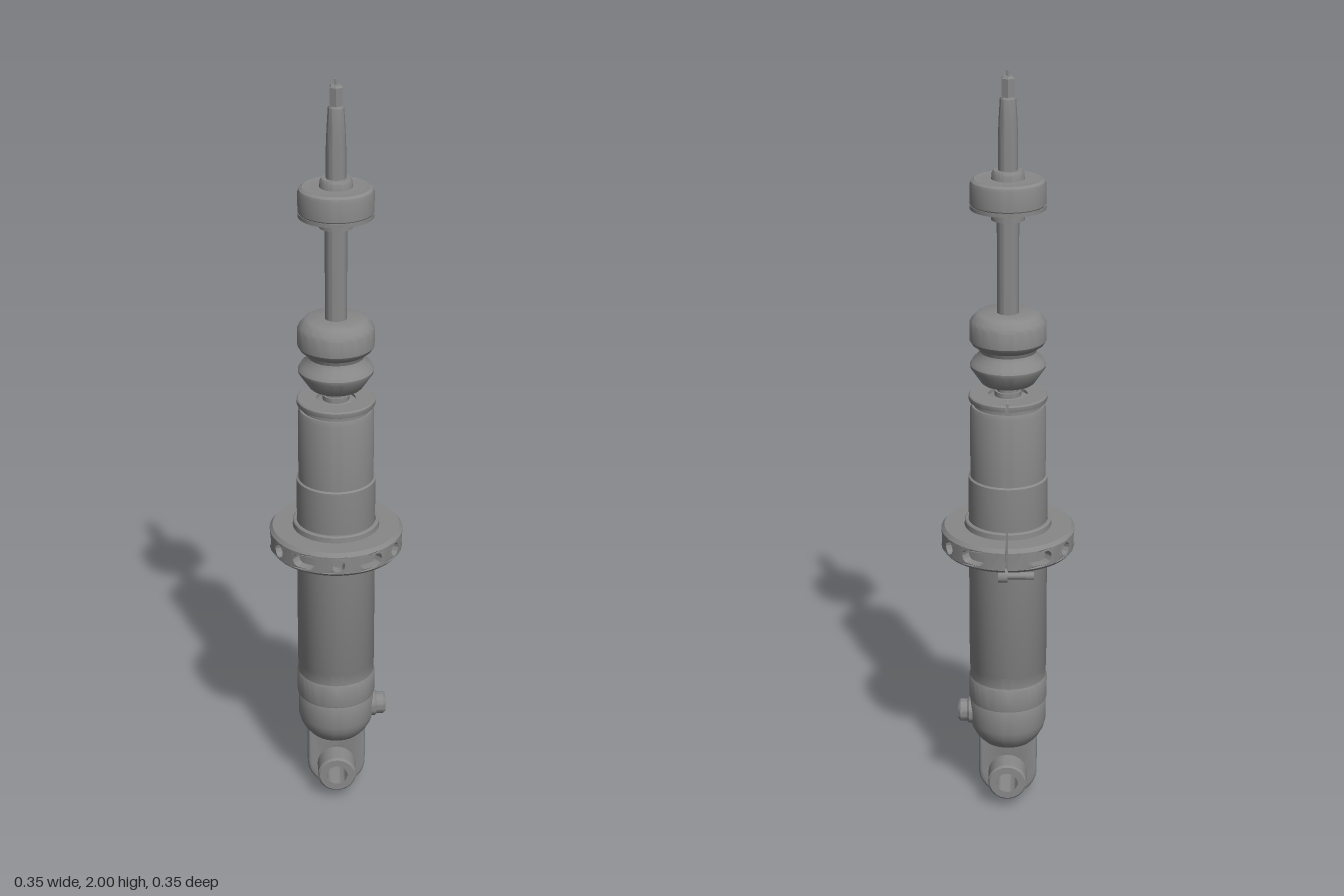
import * as THREE from 'three';
import { mergeGeometries, toCreasedNormals } from 'three/addons/utils/BufferGeometryUtils.js';

const V = (a) => a.map(([r, y]) => new THREE.Vector2(r, y));

export function createModel() {
  const model = new THREE.Group();
  model.name = 'shockAbsorber';
  const metal = new THREE.MeshStandardMaterial({ color: 0x888888, side: THREE.DoubleSide });
  metal.name = 'grey metal';

  const add = (name, geo, x = 0, y = 0, z = 0, parent = model) => {
    const m = new THREE.Mesh(toCreasedNormals(geo, 0.5), metal);
    m.name = name;
    m.position.set(x, y, z);
    parent.add(m);
    return m;
  };
  // revolved part; gap is the half angle of a slit at the back
  const turned = (name, pts, gap = 0, seg = 64) =>
    add(name, new THREE.LatheGeometry(V(pts), seg, Math.PI + gap, Math.PI * 2 - gap * 2));

  // lower body, threaded tube and upper sleeve
  turned('baseCup', [[0, 0.172], [0.07, 0.172], [0.076, 0.178], [0.088, 0.193], [0.097, 0.21],
    [0.102, 0.23], [0.102, 0.29], [0.098, 0.3], [0, 0.3]]);
  turned('baseCollar', [[0.09, 0.298], [0.104, 0.298], [0.105, 0.303], [0.105, 0.36], [0.102, 0.366], [0.09, 0.366]]);
  turned('bodyTube', [[0.09, 0.36], [0.102, 0.36], [0.102, 0.398], [0.103, 0.4], [0.103, 0.942], [0.097, 0.946], [0.09, 0.946]]);
  turned('upperSleeve', [[0.09, 0.94], [0.098, 0.94], [0.098, 1.128], [0.094, 1.14], [0, 1.14]]);
  turned('capNeck', [[0.088, 1.135], [0.088, 1.156]]);
  turned('capRing', [[0.05, 1.153], [0.1, 1.153], [0.101, 1.156], [0.101, 1.166], [0.098, 1.169], [0.05, 1.169], [0.05, 1.153]], 0.04);
  turned('rodSeal', [[0.055, 1.14], [0.055, 1.16], [0.034, 1.165], [0.034, 1.178], [0, 1.178]]);

  // piston rod with stepped top
  turned('pistonRod', [[0, 1.15], [0.028, 1.15], [0.028, 1.7], [0, 1.7]], 0, 40);
  turned('rodStud', [[0, 1.7], [0.025, 1.7], [0.025, 1.83], [0.023, 1.88], [0.02, 1.93], [0.017, 1.935], [0, 1.935]], 0, 40);
  turned('rodHexTip', [[0, 1.93], [0.018, 1.93], [0.018, 1.98], [0.014, 1.985], [0, 1.985]], 0, 6);
  turned('rodPin', [[0, 1.98], [0.004, 1.98], [0.004, 2], [0, 2]], 0, 12);

  // rubber bump stop
  turned('bumpStop', [[0.028, 1.2], [0.066, 1.2], [0.07, 1.204], [0.096, 1.242], [0.097, 1.25],
    [0.09, 1.262], [0.076, 1.275], [0.072, 1.285], [0.076, 1.295], [0.092, 1.306], [0.098, 1.316],
    [0.098, 1.36], [0.094, 1.368], [0.08, 1.384], [0.074, 1.387], [0.028, 1.387]]);

  // top mount
  turned('mountLowerCollar', [[0.028, 1.628], [0.042, 1.628], [0.042, 1.648], [0.028, 1.648]]);
  turned('mountWasher', [[0.028, 1.645], [0.048, 1.645], [0.052, 1.657], [0.095, 1.657], [0.095, 1.667], [0.028, 1.667]]);
  turned('mountBush', [[0.03, 1.665], [0.092, 1.665], [0.095, 1.67], [0.095, 1.718], [0.092, 1.727],
    [0.084, 1.732], [0.07, 1.73], [0.045, 1.732], [0.025, 1.732]]);
  turned('mountUpperCollar', [[0.042, 1.728], [0.04, 1.748], [0.036, 1.754], [0.024, 1.754]]);

  // spring perch: slit clamp ring with pockets around its rim
  const R = 0.175, floor = 0.15, gap = 0.024;
  const y0 = 0.748, y1 = 0.796;
  turned('perchCore', [[0.104, 0.74], [0.168, 0.74], [R, y0], [floor, y0], [floor, y1], [R, y1],
    [0.167, 0.806], [0.114, 0.806], [0.113, 0.82], [0.11, 0.823], [0.104, 0.823], [0.104, 0.74]], gap, 96);
  const cells = [];
  const half = Math.PI / 12;
  // one rim cell, drawn flat and then bent around the axis
  const rimCell = (a0, a1, pocket) => {
    const s = new THREE.Shape();
    for (let i = 0; i <= 8; i++) {
      const a = a0 + (a1 - a0) * i / 8;
      if (i) s.lineTo(a * R, y0); else s.moveTo(a * R, y0);
    }
    for (let i = 8; i >= 0; i--) s.lineTo((a0 + (a1 - a0) * i / 8) * R, y1);
    s.closePath();
    if (pocket !== null) {
      const c = (a0 + a1) / 2 * R, y = (y0 + y1) / 2, r = 0.018, w = pocket;
      const h = new THREE.Path();
      h.absarc(c + w, y, r, -Math.PI / 2, Math.PI / 2, false);
      h.absarc(c - w, y, r, Math.PI / 2, Math.PI * 1.5, false);
      h.closePath();
      s.holes.push(h);
    }
    const g = new THREE.ExtrudeGeometry(s, { depth: R - floor, bevelEnabled: false, curveSegments: 12 });
    const p = g.attributes.position;
    for (let i = 0; i < p.count; i++) {
      const a = p.getX(i) / R, r = floor + p.getZ(i);
      p.setXYZ(i, r * Math.sin(a), p.getY(i), r * Math.cos(a));
    }
    cells.push(g);
  };
  for (let i = -5; i <= 5; i++) rimCell(i * 2 * half - half, i * 2 * half + half, i % 2 ? 0.016 : 0);
  rimCell(Math.PI - half, Math.PI - gap, null);
  rimCell(Math.PI + gap, Math.PI + half, null);
  add('perchRim', mergeGeometries(cells));

  // clamp screw under the slit
  const screw = new THREE.Group();
  screw.name = 'clampScrew';
  screw.position.set(0, 0.724, -0.15);
  model.add(screw);
  add('screwHead', new THREE.CylinderGeometry(0.018, 0.018, 0.025, 24), 0.01, 0, 0, screw).rotation.z = Math.PI / 2;
  add('screwShaft', new THREE.CylinderGeometry(0.01, 0.01, 0.07, 20), -0.035, 0, 0, screw).rotation.z = Math.PI / 2;

  // side valve on the base cup
  const valve = new THREE.LatheGeometry(V([[0, 0], [0.036, 0], [0.036, 0.02], [0.03, 0.026], [0.03, 0.044], [0.024, 0.05], [0, 0.05]]), 32);
  add('sideValve', valve, 0.085, 0.25, 0).rotation.z = -Math.PI / 2;

  // mounting eye with bushing
  const cy = 0.082, eye = new THREE.Shape();
  eye.moveTo(0.068, 0.19);
  eye.lineTo(-0.068, 0.19);
  eye.lineTo(-0.068, cy);
  eye.absarc(0, cy, 0.068, Math.PI, Math.PI * 2, false);
  eye.closePath();
  const hole = new THREE.Path();
  hole.absarc(0, cy, 0.045, 0, Math.PI * 2, true);
  eye.holes.push(hole);
  add('mountingEye', new THREE.ExtrudeGeometry(eye, { depth: 0.05, bevelThickness: 0.011, bevelSize: 0.011,
    bevelSegments: 4, curveSegments: 32 }), 0, 0, -0.025);
  const bush = new THREE.LatheGeometry(V([[0.028, -0.103], [0.047, -0.103], [0.052, -0.098], [0.052, -0.042],
    [0.044, -0.036], [0.044, 0.036], [0.052, 0.042], [0.052, 0.098], [0.047, 0.103], [0.028, 0.103], [0.028, -0.103]]), 48);
  add('eyeBushing', bush, 0, cy, 0).rotation.x = Math.PI / 2;

  return model;
}
